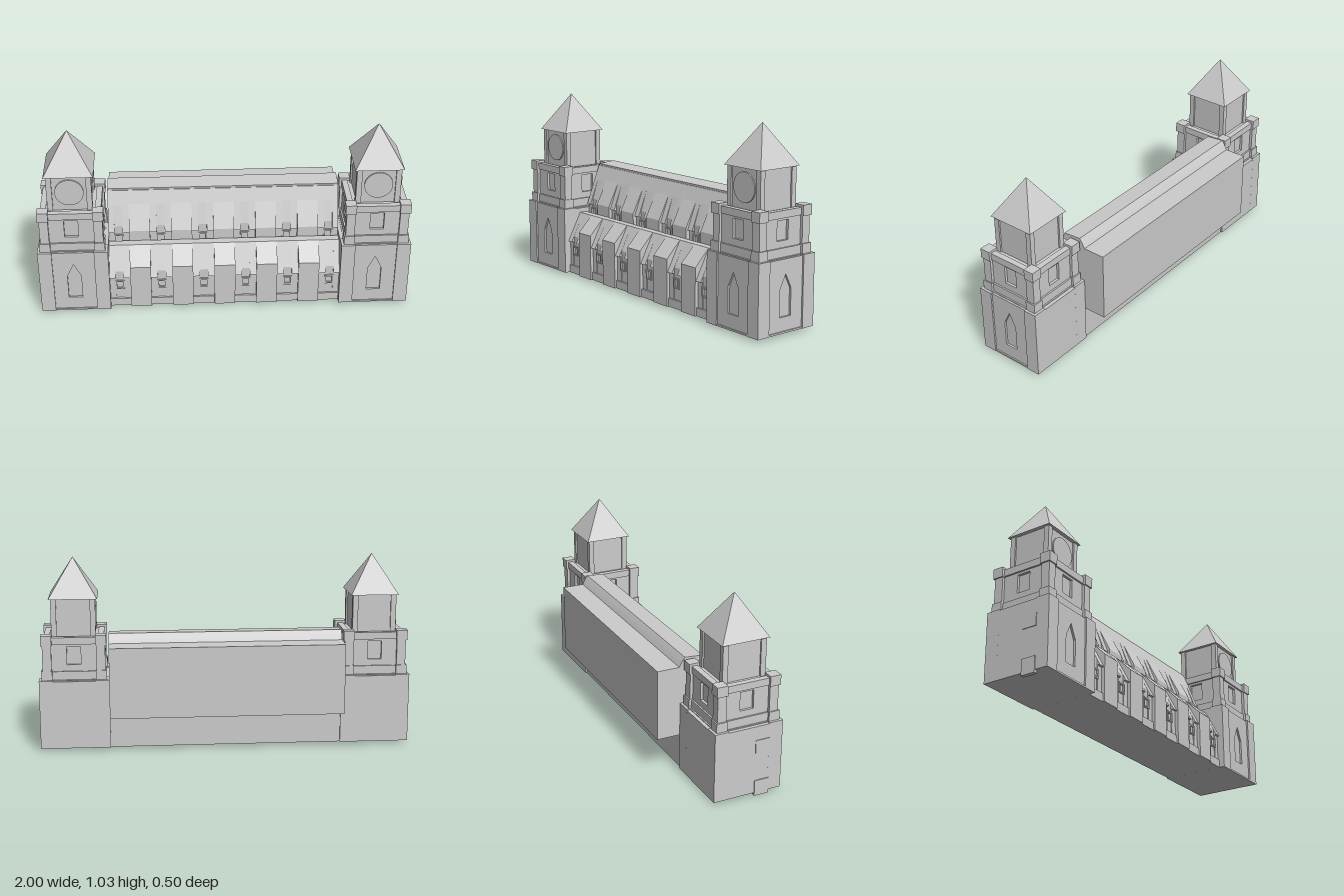
import * as THREE from 'three';
import { toCreasedNormals } from 'three/addons/utils/BufferGeometryUtils.js';

const stone = new THREE.MeshStandardMaterial({ color: 0xcccccc, flatShading: true });
const smoothStone = new THREE.MeshStandardMaterial({ color: 0xcccccc });

function add(parent, name, geometry, material = stone) {
  const mesh = new THREE.Mesh(geometry, material);
  mesh.name = name;
  parent.add(mesh);
  return mesh;
}

// Box given by its minimum and maximum corners
function block(parent, name, [x0, y0, z0], [x1, y1, z1]) {
  const mesh = add(parent, name, new THREE.BoxGeometry(x1 - x0, y1 - y0, z1 - z0));
  mesh.position.set((x0 + x1) / 2, (y0 + y1) / 2, (z0 + z1) / 2);
  return mesh;
}

const outline = (points) => new THREE.Shape(points.map((p) => new THREE.Vector2(...p)));

// Cross-section of [z, y] points swept from x0 to x1
function sweep(points, x0, x1) {
  const g = new THREE.ExtrudeGeometry(outline(points), { depth: x1 - x0, bevelEnabled: false });
  return g.rotateY(-Math.PI / 2).translate(x1, 0, 0);
}

const rect = (w, y0, y1) => [[-w, y0], [w, y0], [w, y1], [-w, y1]];
const lancet = [[-0.037, 0.095], [0.037, 0.095], [0.037, 0.235], [0, 0.31], [-0.037, 0.235]];

// Thin wall slab with a window opening, facing outwards at the given turn
function wall(parent, name, shape, hole, from, to, turn) {
  const s = outline(shape);
  if (hole) s.holes.push(new THREE.Path(hole.map((p) => new THREE.Vector2(...p))));
  const g = new THREE.ExtrudeGeometry(s, { depth: to - from, bevelEnabled: false });
  add(parent, name, g.translate(0, 0, from).rotateY(turn));
}

function createTower(side) {
  const tower = new THREE.Group();
  tower.name = side > 0 ? 'leftTower' : 'rightTower';
  const turns = [0, 1, 2, 3].map((i) => (i * Math.PI) / 2);
  const corners = [[-1, -1], [1, -1], [1, 1], [-1, 1]];
  const pillar = (name, at, half, y0, y1) => corners.forEach(([sx, sz]) =>
    block(tower, name, [sx * at - half, y0, sz * at - half], [sx * at + half, y1, sz * at + half]));

  // Base: solid core, corner piers and face panels
  block(tower, 'baseCore', [-0.168, 0.015, -0.168], [0.168, 0.389, 0.168]);
  pillar('basePier', 0.15, 0.0375, 0.015, 0.39);
  turns.forEach((turn, i) => {
    const pointed = i === 0 || (side > 0 && i === 1);
    wall(tower, 'basePanel', rect(0.115, 0.015, 0.385), pointed ? lancet : null,
      0.166, pointed ? 0.179 : 0.1874, turn);
    wall(tower, 'baseSill', rect(0.114, 0.015, 0.024), null, 0.17, 0.186, turn);
  });

  // Middle stage: windowed walls, bands and stepped corner pillars
  block(tower, 'middleCore', [-0.138, 0.38, -0.138], [0.138, 0.615, 0.138]);
  turns.forEach((turn) => {
    wall(tower, 'middleWall', rect(0.14, 0.385, 0.62), rect(0.037, 0.47, 0.57), 0.135, 0.152, turn);
    wall(tower, 'lowerBand', rect(0.13, 0.39, 0.435), null, 0.13, 0.161, turn);
    wall(tower, 'upperBand', rect(0.13, 0.582, 0.62), null, 0.13, 0.161, turn);
  });
  pillar('middlePillar', 0.143, 0.024, 0.385, 0.62);
  pillar('pillarFoot', 0.145, 0.029, 0.39, 0.44);
  pillar('pillarCap', 0.145, 0.029, 0.578, 0.632);

  // Upper stage with recessed faces
  block(tower, 'upperCore', [-0.11, 0.61, -0.11], [0.11, 0.828, 0.11]);
  pillar('upperPilaster', 0.104, 0.0145, 0.61, 0.828);

  // Round dial on the front
  const dial = add(tower, 'dial', new THREE.CylinderGeometry(0.076, 0.076, 0.012, 32), smoothStone);
  dial.rotation.x = Math.PI / 2;
  dial.position.set(0, 0.722, 0.111);

  // Pyramid roof
  const roof = add(tower, 'towerRoof', new THREE.ConeGeometry(0.13 * Math.SQRT2, 0.21, 4));
  roof.rotation.y = Math.PI / 4;
  roof.position.y = 0.924;

  // Doorway and small window on the outer side of one tower
  if (side < 0) {
    block(tower, 'door', [-0.192, 0, 0.038], [-0.17, 0.085, 0.117]);
    block(tower, 'sideWindow', [-0.191, 0.24, 0.038], [-0.17, 0.31, 0.117]);
  }
  tower.position.set(side * 0.8125, 0, 0.0635);
  return tower;
}

// Square window frame with a sunken pane
function windowFrame(parent, x, y, z) {
  const g = new THREE.Group();
  g.name = 'window';
  wall(g, 'windowFrame', rect(0.024, -0.027, 0.027), rect(0.016, -0.019, 0.019), -0.004, 0.005, 0);
  g.position.set(x, y, z);
  parent.add(g);
}

function createHall() {
  const hall = new THREE.Group();
  hall.name = 'hall';
  const end = 0.625, pitch = 0.2285, half = 0.058;

  // Solid core, terrace and rear block with a raised ridge
  block(hall, 'hallBody', [-end, 0.015, -0.115], [end, 0.335, 0.13]);
  block(hall, 'upperBody', [-end, 0.3, -0.115], [end, 0.4, 0.06]);
  const rear = [[0, 0.21], [-0.25, 0.21], [-0.25, 0.59], [-0.13, 0.59], [-0.117, 0.615],
    [-0.1, 0.64], [-0.05, 0.636], [0, 0.632]].reverse();
  add(hall, 'rearBlock', toCreasedNormals(sweep(rear, -end, end), 0.6), smoothStone);

  // Bay sections of the lower and upper storeys, as [z, y] outlines
  const lowerPier = [[0.1, 0.015], [0.23, 0.015], [0.23, 0.27], [0.142, 0.36], [0.1, 0.36]];
  const lowerBay = [[0.1, 0.015], [0.212, 0.015], [0.212, 0.2], [0.226, 0.2], [0.142, 0.36], [0.1, 0.36]];
  const lowerNotch = [[0.1, 0.015], [0.208, 0.015], [0.208, 0.232], [0.142, 0.36], [0.1, 0.36]];
  const upperPier = [[-0.02, 0.3], [0.1, 0.3], [0.1, 0.42], [0.034, 0.55], [0.004, 0.622], [-0.02, 0.622]];
  const upperBay = [[-0.02, 0.3], [0.078, 0.3], [0.078, 0.405], [0.09, 0.405], [0.034, 0.55],
    [0.004, 0.622], [-0.02, 0.622]];
  const upperNotch = [[-0.02, 0.3], [0.073, 0.3], [0.073, 0.437], [0.034, 0.55], [0.004, 0.622], [-0.02, 0.622]];

  for (let i = 0; i < 6; i++) {
    const x = (i - 2.5) * pitch;
    const x0 = Math.max(-end, x - half), x1 = Math.min(end, x + half);
    for (const [bay, notch, name] of [[lowerBay, lowerNotch, 'lowerBay'], [upperBay, upperNotch, 'upperBay']]) {
      add(hall, name, sweep(bay, x0, x - 0.022));
      add(hall, name + 'Notch', sweep(notch, x - 0.022, x + 0.022));
      add(hall, name, sweep(bay, x + 0.022, x1));
    }
    block(hall, 'plinth', [x0, 0.015, 0.2], [x1, 0.06, 0.22]);
    windowFrame(hall, x, 0.15, 0.213);
    windowFrame(hall, x, 0.362, 0.079);
    // Piers stand between neighbouring bays
    if (i < 5) {
      add(hall, 'lowerPier', sweep(lowerPier, x + half, x + pitch - half));
      add(hall, 'upperPier', sweep(upperPier, x + half, x + pitch - half));
    }
  }
  return hall;
}

export function createModel() {
  const model = new THREE.Group();
  model.name = 'twinTowerHall';
  model.add(createHall(), createTower(1), createTower(-1));
  return model;
}
